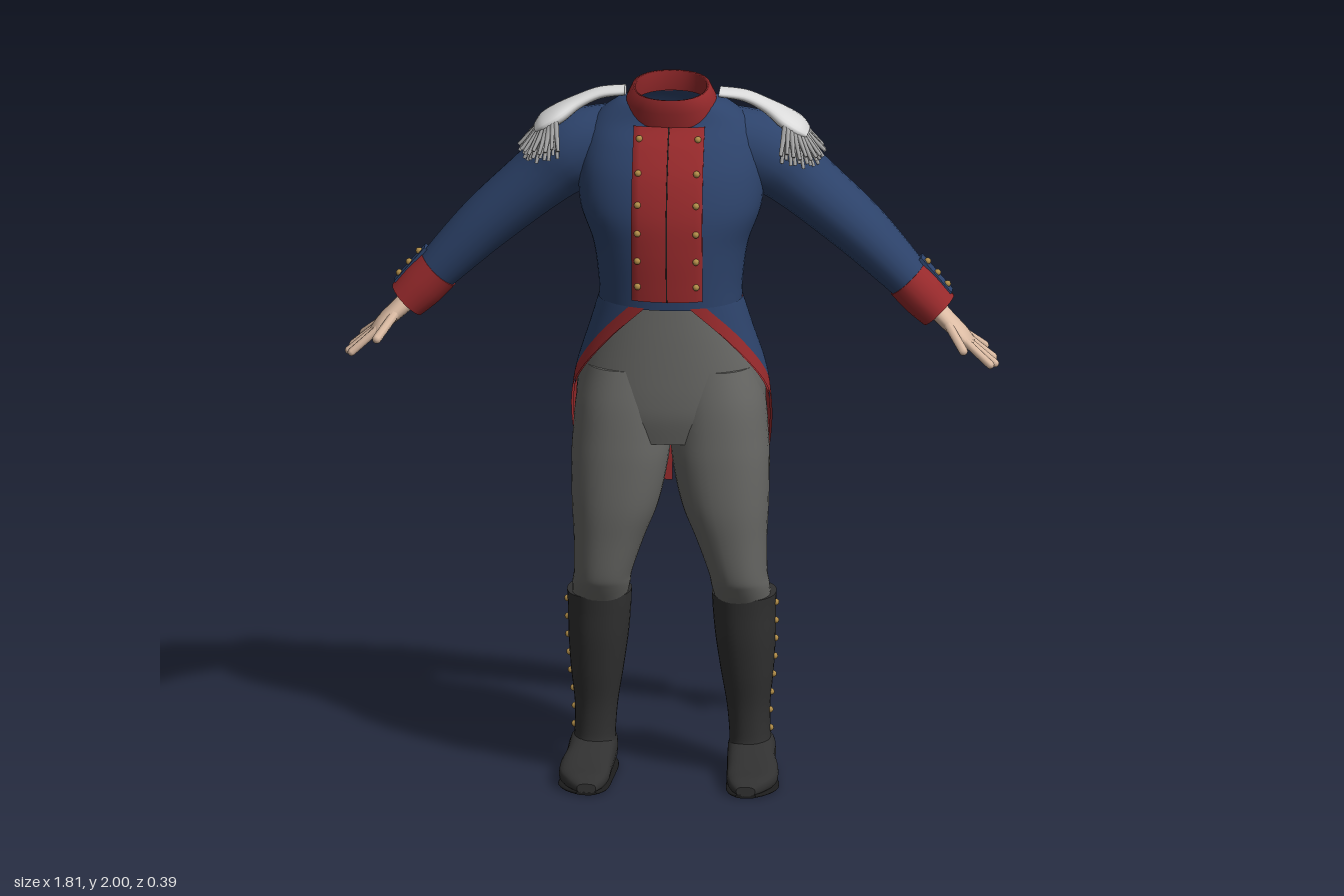
import * as THREE from 'three';
import { mergeGeometries } from 'three/addons/utils/BufferGeometryUtils.js';

const V = (x, y, z) => new THREE.Vector3(x, y, z);
const mat = (name, color, side = THREE.FrontSide) => {
  const m = new THREE.MeshStandardMaterial({ color, side });
  m.name = name;
  return m;
};

// Smooth curve through b and c, with neighbours a and d.
function curve(a, b, c, d, t) {
  const cubic = 3 * (b - c) + d - a;
  const square = 2 * a - 5 * b + 4 * c - d;
  return b + 0.5 * t * (c - a + t * (square + t * cubic));
}

// Smoothly interpolates the rows of a table of cross-sections.
function dense(table, steps = 6) {
  const rows = [], last = table.length - 1;
  for (let i = 0; i < last; i++) {
    const [a, b, c, d] = [table[Math.max(i - 1, 0)], table[i], table[i + 1], table[Math.min(i + 2, last)]];
    for (let s = 0; s < steps; s++) rows.push(b.map((p, k) => curve(a[k], p, c[k], d[k], s / steps)));
  }
  rows.push(table[last]);
  return rows;
}
const rowAt = (rows, y) => rows.reduce((a, b) => (Math.abs(b[0] - y) < Math.abs(a[0] - y) ? b : a));

// Skins a list of point rings; closed rings wrap round and may be capped.
function loft(rings, closed = true, caps = false) {
  const n = rings[0].length, pts = rings.flat(), index = [];
  for (let i = 0; i < rings.length - 1; i++) {
    for (let j = 0; j < (closed ? n : n - 1); j++) {
      const a = i * n + j, b = i * n + (j + 1) % n;
      index.push(a, b, b + n, a, b + n, a + n);
    }
  }
  if (caps) {
    [rings[0], rings[rings.length - 1]].forEach((ring, end) => {
      const base = pts.length;
      pts.push(...ring, ring.reduce((s, p) => s.add(p), V(0, 0, 0)).divideScalar(n));
      for (let j = 0; j < n; j++) {
        const a = base + j, b = base + (j + 1) % n;
        index.push(base + n, end ? a : b, end ? b : a);
      }
    });
  }
  const geo = new THREE.BufferGeometry().setFromPoints(pts);
  geo.setIndex(index);
  geo.computeVertexNormals();
  return geo;
}

const pow = (v, p) => Math.sign(v) * Math.abs(v) ** (2 / p);
const range = (n, a, b) => Array.from({ length: n + 1 }, (_, i) => a + (b - a) * i / n);
const turn = (n) => range(n, 0, Math.PI * 2).slice(0, n);

// Level section, row = [y, half width, front z, back z, centre x].
const P = 2.2;
function levelPoint([y, rx, zf, zb, cx = 0], t, s = 1) {
  return V(cx + s * rx * pow(Math.sin(t), P), y, (zf + zb) / 2 + s * (zf - zb) / 2 * pow(Math.cos(t), P));
}
const body = (table, caps, n = 36) => loft(dense(table).map((r) => turn(n).map((t) => levelPoint(r, t))), true, caps);

// Limb section across a path in the xy plane, row = [x, y, z, half thickness, half depth].
function limb(table, n = 20) {
  const rows = dense(table, 5);
  const rings = rows.map((r, i) => {
    const a = rows[Math.max(i - 1, 0)], b = rows[Math.min(i + 1, rows.length - 1)];
    const d = V(b[0] - a[0], b[1] - a[1], 0).normalize();
    return turn(n).map((t) => {
      const h = r[3] * Math.cos(t);
      return V(r[0] - d.y * h, r[1] + d.x * h, r[2] + r[4] * Math.sin(t));
    });
  });
  return loft(rings, true, true);
}

// Places an upright geometry between two points.
function between(geo, a, b) {
  const q = new THREE.Quaternion().setFromUnitVectors(V(0, 1, 0), b.clone().sub(a).normalize());
  const mid = a.clone().add(b).multiplyScalar(0.5);
  return geo.applyQuaternion(q).translate(mid.x, mid.y, mid.z);
}
const finger = (a, b, r) => between(new THREE.CapsuleGeometry(r, a.distanceTo(b), 4, 8), a, b);
const button = (x, y, z) => new THREE.SphereGeometry(0.0095, 10, 6).translate(x, y, z);

export function createModel() {
  const root = new THREE.Group();
  root.name = 'uniform';
  const blue = mat('blue cloth', 0x2d436b, THREE.DoubleSide), red = mat('red cloth', 0x982a2c, THREE.DoubleSide);
  const grey = mat('grey cloth', 0x686865), black = mat('black leather', 0x313131), dark = mat('dark sole', 0x1c1c1c);
  const skin = mat('skin', 0xdcbca4), white = mat('white braid', 0xdadada), silver = mat('silver fringe', 0xa8a8a8);
  const gold = mat('gold', 0xb08c48);

  const add = (name, geo, material) => {
    const mesh = new THREE.Mesh(geo, material);
    mesh.name = name;
    root.add(mesh);
  };
  const pair = (name, geo, material) => {
    add('left ' + name, geo, material);
    const other = geo.clone().scale(-1, 1, 1), ix = other.index.array;
    for (let i = 0; i < ix.length; i += 3) [ix[i], ix[i + 1]] = [ix[i + 1], ix[i]];
    add('right ' + name, other, material);
  };

  // Jacket body, open at the neck
  const torso = [[1.385, 0.197, 0.16, -0.147], [1.45, 0.2, 0.167, -0.156], [1.55, 0.215, 0.175, -0.165],
    [1.65, 0.25, 0.174, -0.175], [1.75, 0.255, 0.152, -0.18], [1.83, 0.24, 0.115, -0.172],
    [1.89, 0.21, 0.076, -0.15], [1.935, 0.155, 0.06, -0.125], [1.95, 0.11, 0.055, -0.11]];
  add('jacket', body(torso, false, 48), blue);

  // Red breast panel following the chest, with its closing seam and buttons
  const chest = dense(torso, 8).filter((r) => r[0] > 1.405 && r[0] < 1.895);
  const chestZ = ([, rx, zf, zb], x) => (zf + zb) / 2 + (zf - zb) / 2 * (1 - (Math.abs(x) / rx) ** P) ** (1 / P);
  const columns = [-1, ...range(10, -1, 1), 1];
  const panel = (w, lift) => loft(chest.map((r) => columns.map((u, i) => {
    const out = i === 0 || i === 12 ? -0.006 : lift;
    return V(u * w, r[0], chestZ(r, u * w) + out);
  })), false);
  add('breast panel', panel(0.098, 0.007), red);
  add('breast seam', panel(0.0018, 0.0085), dark);
  const breastButtons = [1.86, 1.775, 1.69, 1.61, 1.53, 1.455].map((y) => button(0.081, y, chestZ(rowAt(chest, y), 0.081) + 0.009));
  pair('breast buttons', mergeGeometries(breastButtons), gold);

  // Standing collar, tilted forward: [front y, back y, half width, front z, back z]
  const collar = [[1.882, 1.935, 0.128, 0.082, -0.125], [1.93, 1.97, 0.124, 0.095, -0.118], [1.972, 2, 0.108, 0.102, -0.108],
    [1.97, 1.998, 0.098, 0.092, -0.098], [1.89, 1.94, 0.112, 0.07, -0.11]];
  const collarRings = collar.map(([yf, yb, rx, zf, zb]) => turn(36).map((t) => {
    const p = levelPoint([0, rx, zf, zb], t);
    p.y = yb + (yf - yb) * (p.z - zb) / (zf - zb);
    return p;
  }));
  add('collar', loft(collarRings), red);

  // Coat tails: [y, half width, front z, back z, angle of the front edge]
  const tails = dense([[0.81, 0.264, 0.15, -0.152, 1.98], [0.92, 0.276, 0.15, -0.152, 1.86], [1, 0.28, 0.155, -0.17, 1.76],
    [1.1, 0.275, 0.158, -0.19, 1.52], [1.19, 0.26, 0.158, -0.194, 1.16], [1.3, 0.226, 0.158, -0.162, 0.72],
    [1.39, 0.199, 0.162, -0.149, 0.28]]);
  const facing = 0.25;
  const slit = (row) => Math.PI - (row[0] < 1.34 ? 0.018 : 0);
  const tail = (from, to, s = 1) => loft(tails.map(([y, rx, zf, zb, t0]) => {
    const row = [y, rx, zf, zb];
    return range(20, from(t0), to(t0, row)).map((t) => levelPoint(row, t, s));
  }), false);
  pair('coat tail', tail((t0) => t0 + facing, (t0, row) => slit(row)), blue);
  pair('coat tail facing', tail((t0) => t0, (t0) => t0 + facing), red);
  pair('coat tail lining', tail((t0) => t0, (t0, row) => slit(row), 0.98), red);
  pair('back button', button(0.025, 1.375, -0.152), gold);

  // Sleeves and cuffs
  pair('sleeve', limb([[0.15, 1.815, -0.06, 0.1, 0.1], [0.27, 1.775, -0.062, 0.112, 0.108], [0.355, 1.705, -0.07, 0.092, 0.1],
    [0.5, 1.575, -0.085, 0.08, 0.093], [0.59, 1.485, -0.087, 0.07, 0.08], [0.668, 1.402, -0.085, 0.059, 0.064]]), blue);
  pair('cuff', limb([[0.648, 1.422, -0.085, 0.064, 0.071], [0.69, 1.378, -0.085, 0.065, 0.071], [0.735, 1.333, -0.08, 0.058, 0.064]]), red);
  const tilt = Math.atan2(-0.76, 0.65);
  pair('cuff flap', new THREE.BoxGeometry(0.13, 0.012, 0.045).rotateZ(tilt).translate(0.724, 1.432, -0.09), blue);
  const cuffButtons = [-0.042, 0, 0.042].map((s) => button(0.73 + 0.65 * s, 1.438 - 0.76 * s, -0.09));
  pair('cuff buttons', mergeGeometries(cuffButtons), gold);

  // Hands
  pair('palm', limb([[0.71, 1.358, -0.075, 0.028, 0.034], [0.755, 1.315, -0.06, 0.025, 0.042],
    [0.8, 1.275, -0.05, 0.02, 0.052], [0.828, 1.25, -0.05, 0.01, 0.046]]), skin);
  const fingers = [[-0.012, 0.882, 1.203, 0.004], [-0.038, 0.892, 1.196, -0.037], [-0.062, 0.884, 1.201, -0.082], [-0.086, 0.858, 1.222, -0.124]]
    .map(([z, x, y, tipZ]) => finger(V(0.808, 1.268, z), V(x, y, tipZ), 0.0115));
  fingers.push(finger(V(0.765, 1.305, -0.025), V(0.81, 1.252, 0.04), 0.013));
  pair('fingers', mergeGeometries(fingers), skin);

  // Shoulder straps with a double row of fringe round the pad
  pair('epaulette', limb([[0.13, 1.955, -0.055, 0.012, 0.036], [0.2, 1.944, -0.06, 0.015, 0.034], [0.26, 1.92, -0.05, 0.018, 0.042],
    [0.31, 1.89, -0.04, 0.024, 0.068], [0.35, 1.866, -0.04, 0.022, 0.07], [0.375, 1.85, -0.04, 0.01, 0.05]]), white);
  const strands = [];
  for (const [count, drop, flare] of [[24, 1, 1], [19, 0.75, 1.3]]) {
    range(count, -1.75, 1.75).forEach((a, i) => {
      const c = Math.cos(a), s = Math.sin(a);
      const top = V(0.325 + 0.04 * c, 1.882 - 0.026 * c, -0.042 + 0.063 * s);
      const fall = (0.082 + 0.014 * Math.abs(s) + 0.008 * Math.sin(i * 2.4)) * drop;
      const tip = top.clone().add(V(0.045 * c * flare, -fall, 0.036 * s * flare));
      strands.push(between(new THREE.CylinderGeometry(0.005, 0.0085, top.distanceTo(tip), 6), top, tip));
    });
  }
  pair('epaulette fringe', mergeGeometries(strands), silver);

  // Trousers
  add('hips', body([[0.99, 0.22, 0.125, -0.12], [1.06, 0.256, 0.142, -0.15], [1.12, 0.261, 0.148, -0.168], [1.2, 0.248, 0.15, -0.172],
    [1.3, 0.216, 0.15, -0.146], [1.4, 0.186, 0.148, -0.135]], true), grey);
  pair('trouser leg', body([[0.5, 0.075, 0.06, -0.12, 0.2], [0.56, 0.08, 0.098, -0.1, 0.192], [0.6, 0.081, 0.115, -0.092, 0.186],
    [0.7, 0.098, 0.132, -0.09, 0.169], [0.8, 0.12, 0.146, -0.1, 0.152], [0.92, 0.134, 0.152, -0.115, 0.14],
    [1, 0.135, 0.152, -0.13, 0.135], [1.1, 0.132, 0.148, -0.145, 0.129], [1.2, 0.118, 0.135, -0.14, 0.118]], true), grey);

  // Tall boots with a row of outer buttons
  const shaft = [[0.08, 0.062, 0.012, -0.138, 0.215], [0.11, 0.057, 0.004, -0.132, 0.214], [0.2, 0.06, 0.012, -0.134, 0.21],
    [0.3, 0.073, 0.035, -0.144, 0.207], [0.4, 0.083, 0.056, -0.15, 0.203], [0.48, 0.087, 0.068, -0.148, 0.2], [0.53, 0.089, 0.076, -0.143, 0.2]];
  pair('boot shaft', body(shaft, true), black);
  const bootButtons = range(7, 0.13, 0.5).map((y) => {
    const row = rowAt(dense(shaft, 12), y);
    return button(row[4] + row[1], y, -0.06 + (y - 0.13) * 0.09);
  });
  pair('boot buttons', mergeGeometries(bootButtons), gold);

  // Feet and soles: [z, centre x, half width, top y]
  const foot = dense([[-0.16, 0.217, 0.035, 0.06], [-0.145, 0.217, 0.056, 0.1], [-0.08, 0.218, 0.066, 0.12], [0, 0.222, 0.067, 0.1],
    [0.06, 0.23, 0.071, 0.078], [0.12, 0.231, 0.069, 0.06], [0.17, 0.225, 0.052, 0.05], [0.198, 0.22, 0.026, 0.032]]);
  const footLoft = (bottom, topOf, grow) => loft(foot.map(([z, cx, w, h]) => turn(24).map((t) => {
    const rise = 0.5 + 0.5 * pow(Math.sin(t), 2.8);
    return V(cx + (w + grow) * pow(Math.cos(t), 2.8), bottom + (topOf(h) - bottom) * rise, z);
  })), true, true);
  pair('foot', footLoft(0.006, (h) => h, 0), black);
  pair('sole', footLoft(0, () => 0.012, 0.002), dark);
  return root;
}
